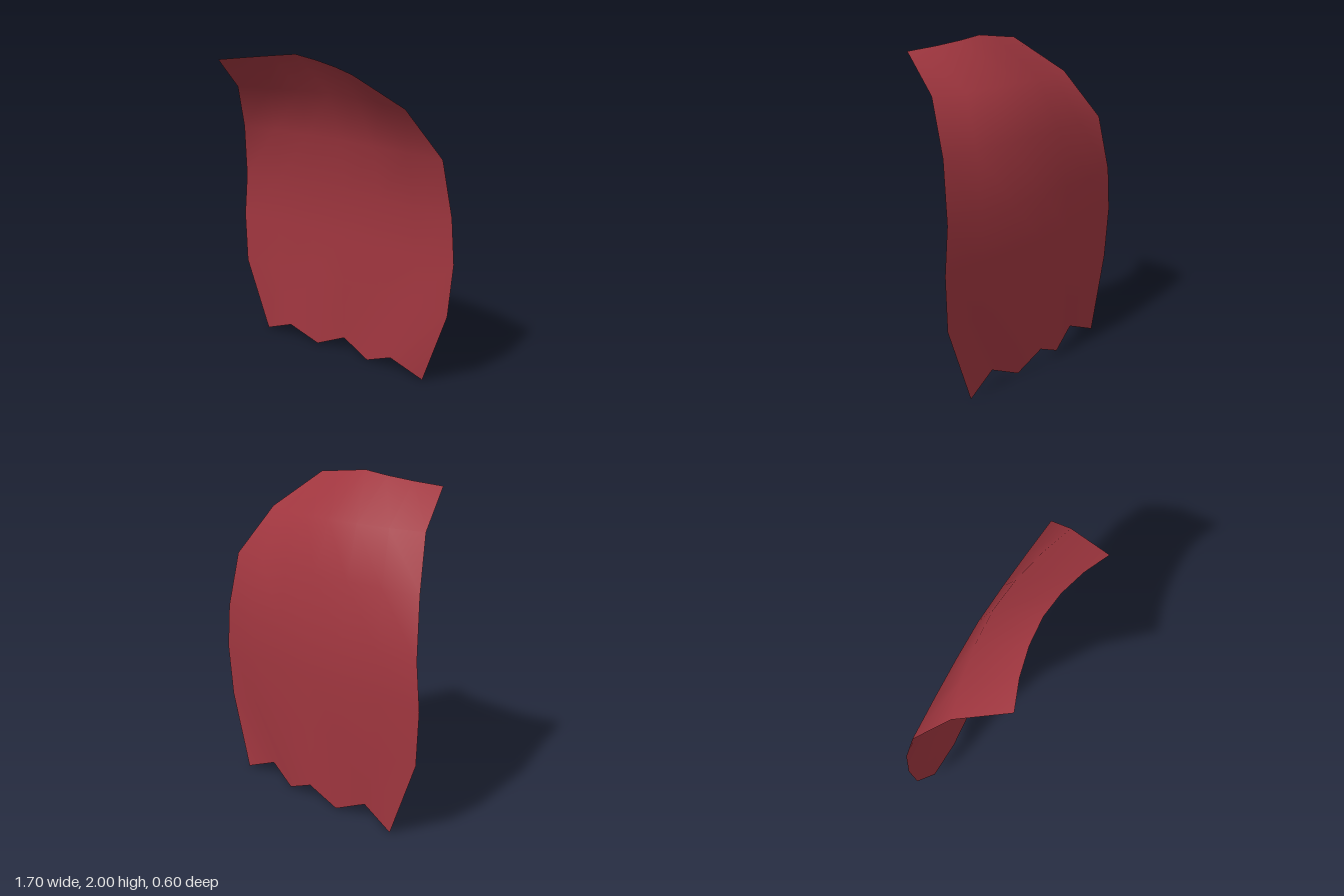
import * as THREE from 'three';

// Rows from top to hem: [centre y, edge y, half width, centre z, edge z, curve power]
const ROWS = [
  [2.0, 1.94, 0.51, 0.18, 0.3, 2],
  [1.74, 1.73, 0.65, -0.125, 0, 1.8],
  [1.43, 1.43, 0.785, -0.235, -0.19, 1.4],
  [1.08, 1.08, 0.825, -0.297, -0.247, 1.3],
  [0.8, 0.8, 0.85, -0.3, -0.247, 1.3],
  [0.47, 0.47, 0.825, -0.295, -0.237, 1.3],
];

// Zigzag hem, from the centre outwards: [x, y, z]
const HEM = [
  [0, 0.09, -0.29],
  [0.21, 0, -0.268],
  [0.42, 0.09, -0.232],
  [0.65, 0, -0.255],
];

export function createModel() {
  const group = new THREE.Group();
  const red = new THREE.MeshStandardMaterial({ color: 0xa0363f, side: THREE.DoubleSide });
  red.name = 'dark red cloth';

  // Curved cloth sheet: a grid bent row by row, its top leaning forward
  const geometry = new THREE.PlaneGeometry(2, 1, 6, ROWS.length);
  const pos = geometry.attributes.position;
  for (let i = 0; i < pos.count; i++) {
    const row = Math.floor(i / 7);
    const col = (i % 7) - 3;
    const side = Math.sign(col);
    const u = Math.abs(col) / 3;
    if (row < ROWS.length) {
      const [yMid, yEdge, half, zMid, zEdge, power] = ROWS[row];
      pos.setXYZ(
        i,
        side * u * half,
        THREE.MathUtils.lerp(yMid, yEdge, u),
        THREE.MathUtils.lerp(zMid, zEdge, u ** power),
      );
    } else {
      const [x, y, z] = HEM[Math.abs(col)];
      pos.setXYZ(i, side * x, y, z);
    }
  }
  geometry.computeVertexNormals();

  const cloth = new THREE.Mesh(geometry, red);
  cloth.name = 'cape';
  group.add(cloth);
  return group;
}
